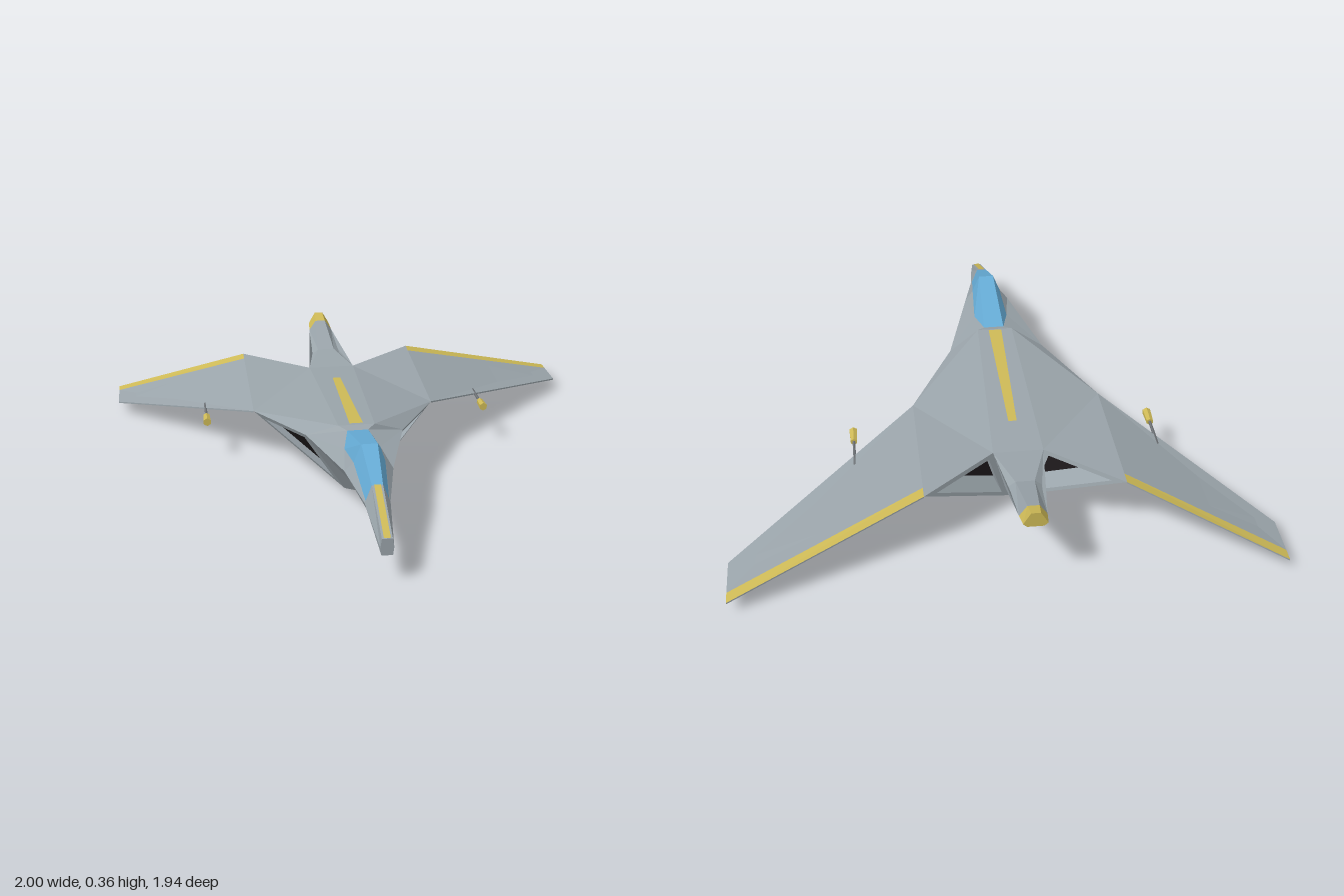
import * as THREE from 'three';

const AXIS = -0.075; // the fuselage sits a little off centre, as one wing is longer

const material = (name, color) => {
  const m = new THREE.MeshStandardMaterial({ color, side: THREE.DoubleSide, flatShading: true });
  m.name = name;
  return m;
};

export function createModel() {
  const group = new THREE.Group();
  const grey = material('hull grey', 0x9aa4aa);
  const yellow = material('trim yellow', 0xcdb956);
  const blue = material('canopy blue', 0x66acd6);
  const black = material('duct black', 0x1c181a);
  const steel = material('gun steel', 0x6c7074);

  const lerp = (a, b, t) => a.map((v, i) => v + (b[i] - v) * t);
  const shift = (p, x, y, z) => [p[0] + x, p[1] + y, p[2] + z];
  const flip = (p) => [-p[0], p[1], p[2]];

  // Flat-shaded mesh from polygons; side = 1 or -1 mirrors about the fuselage axis
  function panels(name, mat, polys, side = 1) {
    const pos = [];
    for (const poly of polys) {
      for (let i = 1; i < poly.length - 1; i++) {
        const tri = side > 0 ? [poly[0], poly[i], poly[i + 1]] : [poly[0], poly[i + 1], poly[i]];
        for (const p of tri) pos.push(AXIS + side * p[0], p[1], p[2]);
      }
    }
    const g = new THREE.BufferGeometry();
    g.setAttribute('position', new THREE.Float32BufferAttribute(pos, 3));
    g.computeVertexNormals();
    const mesh = new THREE.Mesh(g, mat);
    mesh.name = name;
    group.add(mesh);
  }
  // Quads across the axis, running through a row of half-width points
  const bridge = (row) => row.slice(1).map((p, i) => [row[i], p, flip(p), flip(row[i])]);
  // Quads between two rows of equal length
  const strip = (a, b) => a.slice(1).map((p, i) => [a[i], p, b[i + 1], b[i]]);
  // Narrow plate along a row of heights and depths
  const stripe = (name, pts) => panels(name, yellow, bridge(pts));

  // Nose and forward hull: bottom edge, side edge, top edge
  const noseB = [0.02, 0.105, 0.97], noseM = [0.024, 0.135, 0.97], noseT = [0.019, 0.168, 0.97];
  const neckB = [0.025, 0.155, 0.76], neckM = [0.046, 0.205, 0.76], neckT = [0.02, 0.27, 0.755];
  const chinB = [0.03, 0.155, 0.55], cheekM = [0.09, 0.243, 0.56];
  const shoulder = [0.19, 0.24, 0.19];
  const keelF = [0.04, 0.005, 0.19], keelR = [0.03, 0.05, -0.51];

  // Canopy outline
  const sill1 = [0.042, 0.212, 0.755], sill2 = [0.058, 0.28, 0.573], sill3 = [0.068, 0.262, 0.4];
  const ridge = [0.03, 0.35, 0.573], canopyEnd = [0.04, 0.285, 0.28];

  // Back, wing cranks and tail
  const backF = [0.07, 0.295, 0.25], backR = [0.094, 0.262, -0.51];
  const crankF = [0.366, 0.222, -0.137], crankR = [0.366, 0.265, -0.73];
  const tailRidge = [0.035, 0.278, -0.7], tailEdge = [0.07, 0.25, -0.7];
  const endRidge = [0.017, 0.365, -0.97], endEdge = [0.044, 0.318, -0.97], endB = [0.03, 0.305, -0.97];
  const T = 0.77;
  const tipRidge = lerp(tailRidge, endRidge, T), tipEdge = lerp(tailEdge, endEdge, T);
  const tipB = lerp(keelR, endB, 0.86);

  // Triangular duct: frame, sloping walls and a black recessed end
  function duct(name, tri, dz, side) {
    const mid = [0, 1, 2].map((i) => (tri[0][i] + tri[1][i] + tri[2][i]) / 3);
    const lip = tri.map((p) => lerp(p, mid, 0.24));
    const end = lip.map((p) => shift(lerp(p, mid, 0.25), 0, 0, dz));
    const loop = (a) => [...a, a[0]];
    panels(name + 'Frame', grey, [...strip(loop(tri), loop(lip)), ...strip(loop(lip), loop(end))], side);
    panels(name + 'Opening', black, [end], side);
  }

  for (const s of [1, -1]) {
    const tag = s > 0 ? 'left' : 'right';
    panels(tag + 'Nose', grey, [
      ...strip([noseB, neckB], [noseM, neckM]),
      ...strip([noseM, neckM], [noseT, neckT]),
      [neckM, sill1, neckT],
    ], s);
    panels(tag + 'ForwardHull', grey, [
      [neckB, chinB, cheekM, neckM],
      [neckM, cheekM, sill2, sill1],
      [chinB, keelF, shoulder, cheekM],
      [cheekM, shoulder, sill3, sill2],
      [shoulder, backF, canopyEnd, sill3],
    ], s);
    panels(tag + 'CanopySide', blue, [[neckT, sill1, sill2, ridge], [ridge, sill2, sill3, canopyEnd]], s);
    panels(tag + 'InnerWing', grey, [
      [backF, shoulder, crankF], [backF, crankF, backR], [backR, crankF, crankR],
    ], s);
    panels(tag + 'LowerHull', grey, [[keelF, keelR, crankF], [keelR, crankR, crankF]], s);
    duct(tag + 'Intake', [shoulder, keelF, crankF], -0.08, s);
    duct(tag + 'Exhaust', [backR, crankR, keelR], 0.08, s);

    // Tail boom side with a painted tip
    panels(tag + 'Tail', grey, [
      [backR, tailEdge, tailRidge],
      [backR, keelR, tipB, tipEdge, tailEdge],
      [tailRidge, tailEdge, tipEdge, tipRidge],
    ], s);
    panels(tag + 'TailTip', yellow, [
      [tipRidge, tipEdge, endEdge, endRidge], [tipEdge, tipB, endB, endEdge],
    ], s);

    // Outer wing, drooping to its tip, with a painted trailing edge
    const span = s > 0 ? 1.075 : 0.925;
    const tipF = [span, 0.054, -0.77], tipR = [span, 0.054, -0.97];
    const inA = lerp(crankR, crankF, 0.09), outA = lerp(tipR, tipF, 0.25);
    const rim = [crankF, tipF, tipR, crankR];
    const under = rim.map((p) => shift(p, 0, -0.006, 0));
    panels(tag + 'OuterWing', grey, [
      [crankF, tipF, outA, inA], [...under].reverse(),
      ...strip([...rim, rim[0]], [...under, under[0]]),
    ], s);
    panels(tag + 'WingStripe', yellow, [[inA, outA, tipR, crankR]], s);

    // Gun on the leading edge
    const root = lerp(crankF, tipF, 0.335);
    const gun = new THREE.Group();
    gun.name = tag + 'Gun';
    const rod = new THREE.Mesh(new THREE.CylinderGeometry(0.006, 0.006, 0.15, 6), steel);
    rod.name = 'gunBarrel';
    rod.position.z = 0.02;
    const pod = new THREE.Mesh(new THREE.CylinderGeometry(0.017, 0.014, 0.07, 6), yellow);
    pod.name = 'gunPod';
    pod.position.z = 0.12;
    rod.rotation.x = pod.rotation.x = Math.PI / 2;
    gun.add(rod, pod);
    gun.position.set(AXIS + s * root[0], root[1] - 0.004, root[2]);
    group.add(gun);
  }

  // Centre faces
  panels('noseEnd', grey, [[noseB, noseM, noseT, flip(noseT), flip(noseM), flip(noseB)]]);
  panels('noseTop', grey, bridge([noseT, neckT]));
  panels('canopyTop', blue, bridge([neckT, ridge, canopyEnd]));
  panels('back', grey, bridge([canopyEnd, backF, backR, tailRidge, tipRidge]));
  panels('belly', grey, bridge([noseB, neckB, chinB, keelF, keelR, tipB]));
  panels('tailTipTop', yellow, bridge([tipRidge, endRidge]));
  panels('tailEnd', yellow, [
    [endRidge, endEdge, endB, flip(endB), flip(endEdge), flip(endRidge)],
    ...bridge([tipB, endB]),
  ]);

  // Painted stripes
  stripe('noseStripe', [[0.012, 0.171, 0.97], [0.012, 0.273, 0.757]]);
  stripe('backStripe', [[0.026, 0.298, 0.24], [0.016, 0.273, -0.34]]);
  stripe('bellyStripe', [
    [0.018, 0.151, 0.76], [0.018, 0.151, 0.55], [0.018, 0.001, 0.19], [0.018, 0.046, -0.51], [0.018, 0.266, -0.91],
  ]);
  return group;
}
